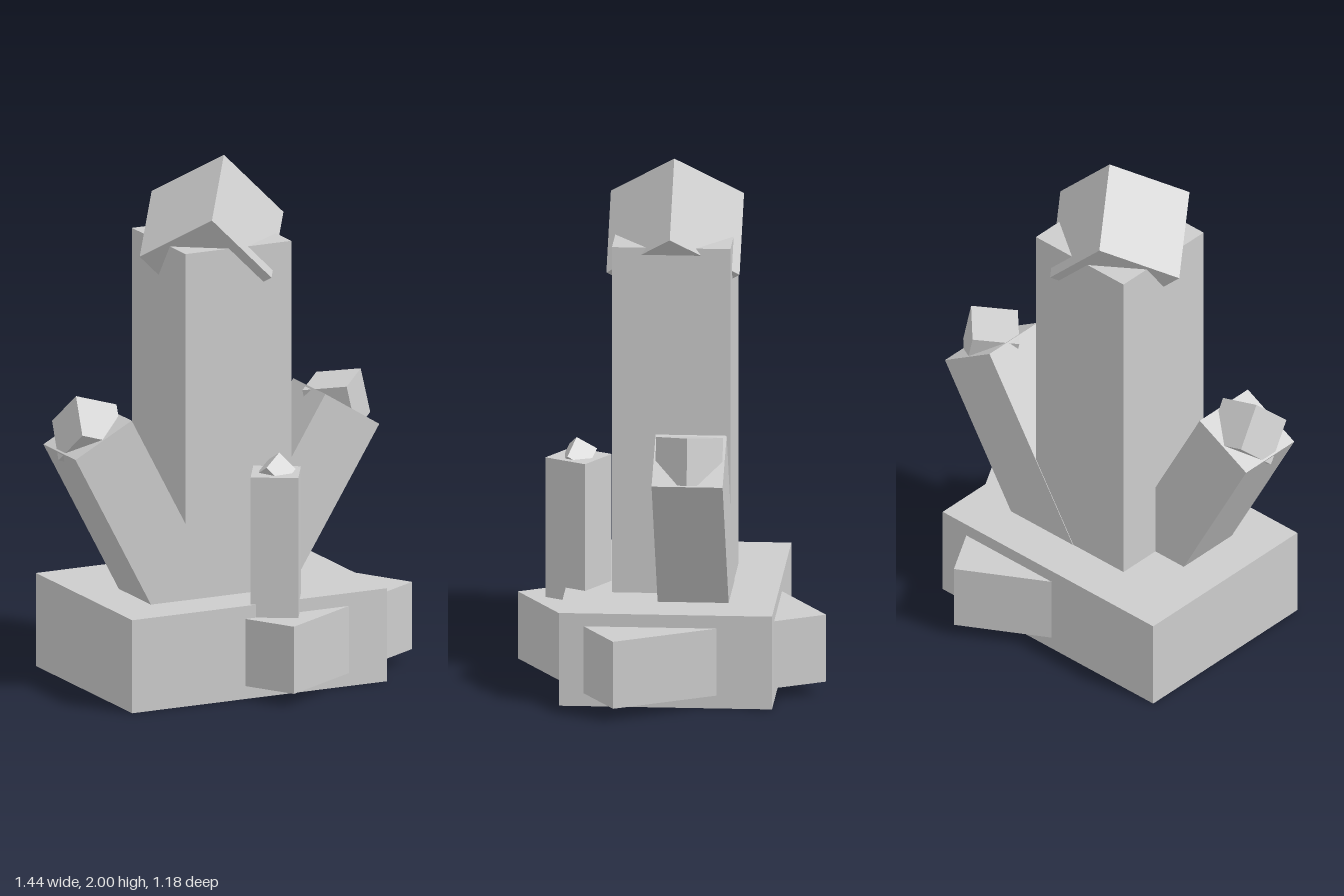
import * as THREE from 'three';

const rad = THREE.MathUtils.degToRad;

export function createModel() {
  const model = new THREE.Group();
  model.name = 'crystalCluster';
  const stone = new THREE.MeshStandardMaterial({ color: 0xcccccc });
  stone.name = 'pale grey stone';

  function box(parent, name, w, h, d, x, y, z) {
    const mesh = new THREE.Mesh(new THREE.BoxGeometry(w, h, d), stone);
    mesh.name = name;
    mesh.position.set(x, y, z);
    parent.add(mesh);
    return mesh;
  }

  // Rock base: a slab crossed by a turned block
  box(model, 'baseSlab', 1.07, 0.36, 0.8, -0.033, 0.18, 0);
  box(model, 'turnedBaseBlock', 0.81, 0.26, 0.89, 0.145, 0.18, 0).rotation.y = rad(30);

  // Square crystal shaft, origin at the centre of its top, with a cube tip standing on a corner
  function crystal(name, width, length, tip, top, turn, tilt) {
    const group = new THREE.Group();
    group.name = name;
    group.position.set(...top);
    group.rotation.set(0, rad(turn), rad(tilt));
    box(group, name + 'Shaft', width, length, width, 0, -length / 2, 0);
    const cube = box(group, name + 'Tip', tip, tip, tip, 0, 0, 0);
    cube.rotation.set(rad(45), 0, rad(-45), 'ZYX');
    model.add(group);
  }

  crystal('mainCrystal', 0.445, 1.5, 0.354, [-0.032, 1.7, 0], 0, 0);
  crystal('rightCrystal', 0.267, 0.9, 0.178, [-0.598, 1.019, 0.088], 0, 28);
  crystal('leftCrystal', 0.267, 0.9, 0.178, [0.538, 0.968, -0.091], 0, -32);
  crystal('frontCrystal', 0.179, 0.65, 0.088, [0.057, 0.852, 0.357], -30, 0);

  return model;
}
